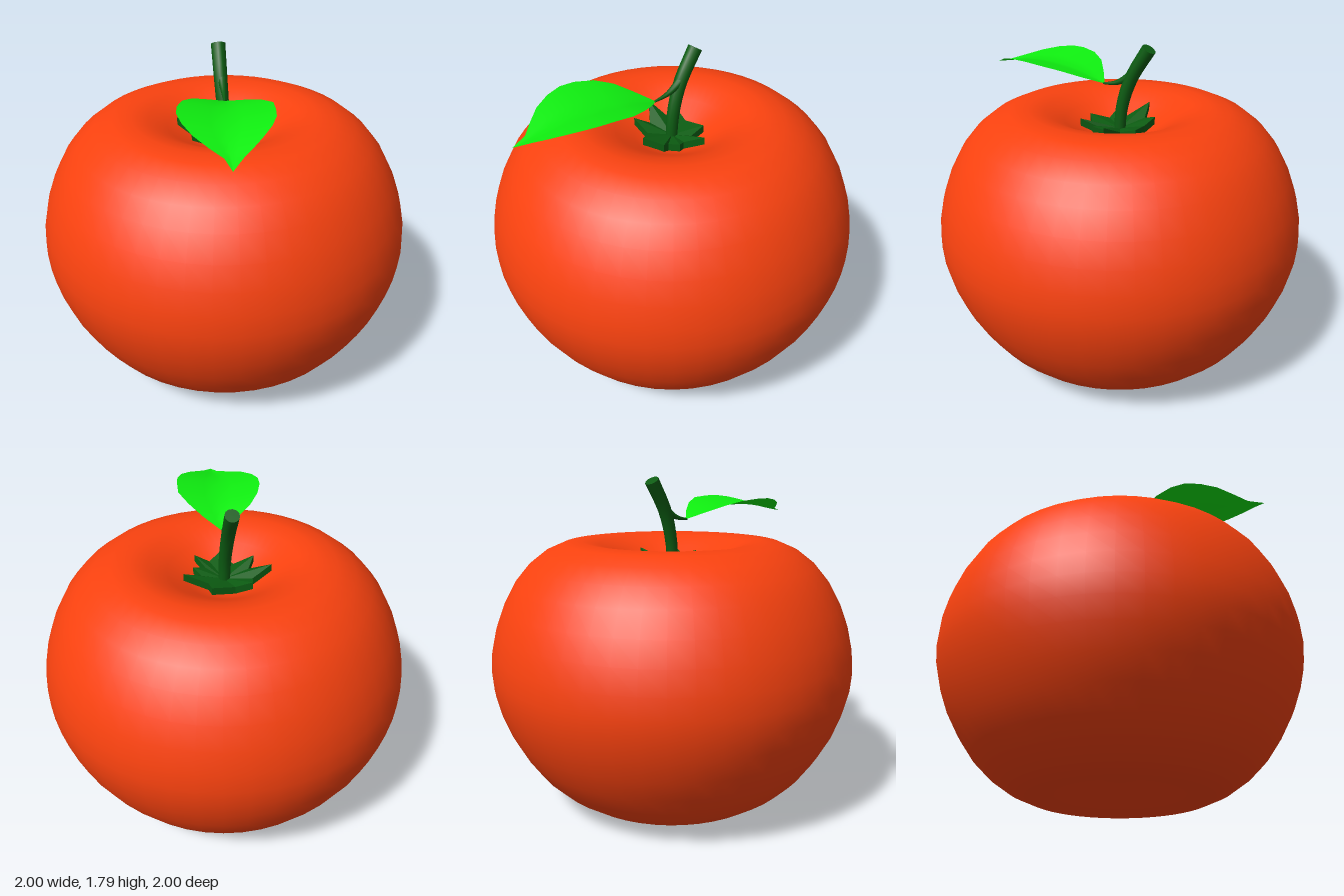
import * as THREE from 'three';

const RED = 0xfa420f, DARK_GREEN = 0x0c5c12, LEAF_GREEN = 0x0fee10;

function part(name, geometry, color, options = {}) {
  const material = new THREE.MeshStandardMaterial({ color, ...options });
  const mesh = new THREE.Mesh(geometry, material);
  mesh.name = name;
  return mesh;
}

function surface(positions) {
  const g = new THREE.BufferGeometry();
  g.setAttribute('position', new THREE.Float32BufferAttribute(positions, 3));
  return g;
}

// Closed, tapering cylinder bent along a curve
function bentCylinder(points, rStart, rEnd) {
  const curve = new THREE.CatmullRomCurve3(points.map(p => new THREE.Vector3(...p)));
  const g = new THREE.CylinderGeometry(rEnd, rStart, 1, 12, 10);
  const pos = g.attributes.position, nor = g.attributes.normal;
  const up = new THREE.Vector3(0, 1, 0), q = new THREE.Quaternion();
  const v = new THREE.Vector3(), n = new THREE.Vector3();
  for (let i = 0; i < pos.count; i++) {
    v.fromBufferAttribute(pos, i);
    n.fromBufferAttribute(nor, i);
    const t = THREE.MathUtils.clamp(v.y + 0.5, 0, 1);
    q.setFromUnitVectors(up, curve.getTangent(t));
    v.setY(0).applyQuaternion(q).add(curve.getPoint(t));
    n.applyQuaternion(q);
    pos.setXYZ(i, v.x, v.y, v.z);
    nor.setXYZ(i, n.x, n.y, n.z);
  }
  return g;
}

// Star-shaped slab whose tips curl upwards
function calyxGeometry() {
  const outline = [
    [-0.25, 0], [-0.15, -0.05], [-0.15, -0.12], [-0.06, -0.12],
    [0.06, -0.16], [0.08, -0.07], [0.21, -0.07], [0.12, 0],
    [0.165, 0.05], [0.10, 0.08], [0.16, 0.14], [0.08, 0.13],
    [0.03, 0.19], [-0.05, 0.12], [-0.16, 0.14], [-0.13, 0.06],
  ];
  const top = outline.map(([x, z]) => [x, 1.325 + 1.5 * (x * x + z * z), z]);
  const bottom = top.map(([x, y, z]) => [x, y - 0.04, z]);
  const centreTop = [0, 1.33, 0], centreBottom = [0, 1.28, 0];
  const tris = [];
  for (let i = 0; i < top.length; i++) {
    const j = (i + 1) % top.length;
    tris.push(centreTop, top[j], top[i]);
    tris.push(centreBottom, bottom[i], bottom[j]);
    tris.push(top[i], top[j], bottom[j], top[i], bottom[j], bottom[i]);
  }
  const g = surface(tris.flat());
  g.computeVertexNormals();
  return g;
}

// Folded leaf: each row is z, left edge x, midrib x, right edge x, midrib height
function leafGeometry() {
  const rows = [
    [0.10, 0.01, 0.01, 0.01, 1.56],
    [0.18, -0.07, 0.015, 0.11, 1.583],
    [0.26, -0.14, 0.02, 0.19, 1.605],
    [0.35, -0.18, 0.03, 0.25, 1.62],
    [0.45, -0.195, 0.035, 0.262, 1.626],
    [0.53, -0.188, 0.04, 0.265, 1.626],
    [0.61, -0.155, 0.045, 0.245, 1.62],
    [0.69, -0.10, 0.055, 0.205, 1.608],
    [0.76, -0.02, 0.065, 0.16, 1.594],
    [0.81, 0.045, 0.075, 0.125, 1.585],
    [0.89, 0.085, 0.085, 0.085, 1.572],
  ];
  const across = 6, positions = [], index = [];
  rows.forEach(([z, left, mid, right, y], r) => {
    for (let i = 0; i <= across; i++) {
      const u = i / across * 2 - 1;
      const x = u < 0 ? mid + (mid - left) * u : mid + (right - mid) * u;
      positions.push(x, y + 0.19 * Math.abs(x - mid), z);
      if (r && i) {
        const d = r * (across + 1) + i, c = d - 1, b = d - across - 1, a = b - 1;
        index.push(a, c, b, b, c, d);
      }
    }
  });
  const g = surface(positions);
  g.setIndex(index);
  g.computeVertexNormals();
  return g;
}

export function createModel() {
  const model = new THREE.Group();
  model.name = 'tomato';

  // Round fruit with a dimple at each pole
  const profile = [
    [0, 0.13], [0.1, 0.115], [0.2, 0.075], [0.3, 0.035], [0.4, 0.01], [0.48, 0.003],
    [0.59, 0.05], [0.69, 0.12], [0.775, 0.205], [0.855, 0.32], [0.92, 0.44],
    [0.965, 0.56], [0.992, 0.67], [1, 0.77], [0.992, 0.88], [0.965, 1.0],
    [0.92, 1.12], [0.855, 1.24], [0.78, 1.33], [0.69, 1.4], [0.59, 1.443],
    [0.49, 1.453], [0.4, 1.437], [0.3, 1.39], [0.2, 1.33], [0.1, 1.28], [0, 1.26],
  ].map(p => new THREE.Vector2(...p));
  model.add(part('fruit', new THREE.LatheGeometry(profile, 48), RED));

  model.add(part('calyx', calyxGeometry(), DARK_GREEN, { flatShading: true }));

  // Main stem and the thin stalk that carries the leaf
  model.add(part('stem', bentCylinder([
    [0, 1.27, 0.005], [-0.005, 1.45, -0.01], [-0.02, 1.61, -0.06], [-0.04, 1.775, -0.16],
  ], 0.03, 0.038), DARK_GREEN));
  model.add(part('leafStalk', bentCylinder([
    [-0.02, 1.65, -0.085], [-0.01, 1.605, -0.03], [0, 1.575, 0.03], [0.01, 1.56, 0.11],
  ], 0.028, 0.005), DARK_GREEN));

  model.add(part('leaf', leafGeometry(), LEAF_GREEN, { side: THREE.DoubleSide }));
  return model;
}
